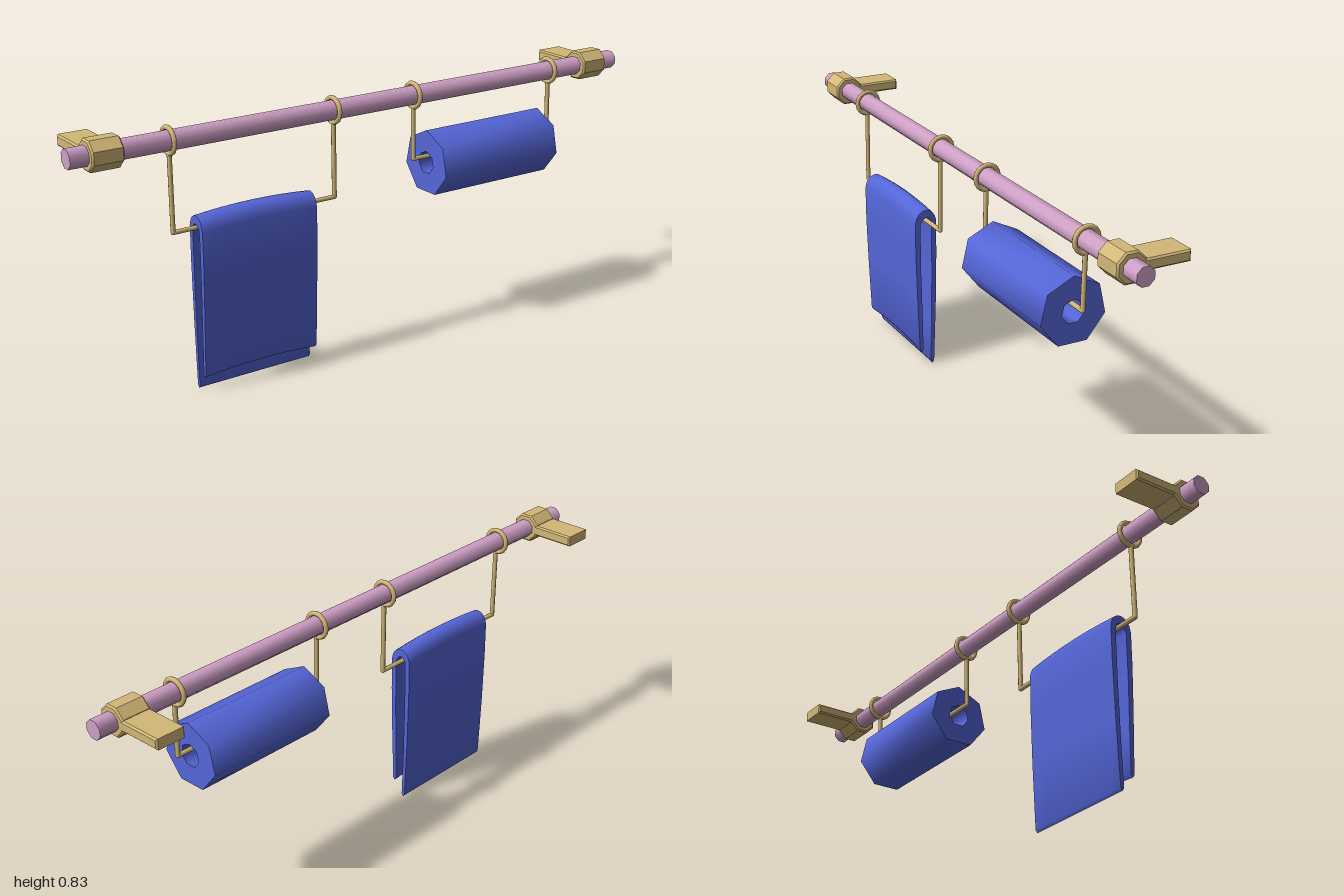
import * as THREE from 'three';
import { toCreasedNormals } from 'three/addons/utils/BufferGeometryUtils.js';

const ROD_X = 0.035, ROD_Y = 0.787, WIRE_X = 0.041, WIRE_R = 0.0075;
const gold = new THREE.MeshStandardMaterial({ color: 0xd3b878 });
const pink = new THREE.MeshStandardMaterial({ color: 0xcfa0c6 });
const blue = new THREE.MeshStandardMaterial({ color: 0x5566d8 });

function add(parent, name, geometry, material) {
  const mesh = new THREE.Mesh(geometry, material);
  mesh.name = name;
  parent.add(mesh);
  return mesh;
}

// Regular polygon outline
function polygon(sides, radius, cx, cy, start) {
  return Array.from({ length: sides }, (_, i) => {
    const a = start + (i / sides) * Math.PI * 2;
    return new THREE.Vector2(cx + radius * Math.cos(a), cy + radius * Math.sin(a));
  });
}

// Extrusion centred on z = 0
function extrude(shape, depth, options, crease) {
  const g = new THREE.ExtrudeGeometry(shape, { depth, bevelEnabled: false, curveSegments: 8, ...options });
  g.translate(0, 0, -depth / 2);
  return toCreasedNormals(g, crease);
}

// Straight wire between two points
function wire(parent, name, a, b) {
  const dir = b.clone().sub(a);
  const m = add(parent, name, new THREE.CylinderGeometry(WIRE_R, WIRE_R, dir.length(), 8), gold);
  m.position.copy(a).add(b).multiplyScalar(0.5);
  m.quaternion.setFromUnitVectors(new THREE.Vector3(0, 1, 0), dir.normalize());
}

// U-shaped wire hanger with two rings round the rod
function hanger(name, zA, zB, y) {
  const group = new THREE.Group();
  group.name = name;
  const ends = [zA, zB].map((z) => {
    const ring = add(group, 'hangerRing', new THREE.TorusGeometry(0.038, 0.0075, 8, 16), gold);
    ring.position.set(ROD_X, ROD_Y, z);
    const low = new THREE.Vector3(WIRE_X, y, z);
    wire(group, 'hangerUpright', new THREE.Vector3(ROD_X + 0.003, ROD_Y - 0.038, z), low);
    add(group, 'hangerCorner', new THREE.SphereGeometry(WIRE_R, 8, 6), gold).position.copy(low);
    return low;
  });
  wire(group, 'hangerBar', ends[0], ends[1]);
  return group;
}

// Wall bracket: octagonal collar with a flat arm, bevelled
function bracketGeometry() {
  const b = 0.005, s = Math.PI / 8, r = 0.045 / Math.cos(s) - b;
  const pts = polygon(8, r, ROD_X, ROD_Y, -Math.PI + s + Math.PI / 4);
  // Rotate the list so that it starts below the arm and ends above it
  const first = pts.findIndex((p) => p.x < ROD_X - 0.03 && p.y < ROD_Y);
  const outline = [...pts.slice(first), ...pts.slice(0, first)];
  const edge = outline[0].x, h = 0.012;
  outline.push(
    new THREE.Vector2(edge, ROD_Y + h), new THREE.Vector2(-0.142, ROD_Y + h),
    new THREE.Vector2(-0.142, ROD_Y - h), new THREE.Vector2(edge, ROD_Y - h));
  return extrude(new THREE.Shape(outline), 0.088,
    { bevelEnabled: true, bevelSize: b, bevelThickness: b, bevelSegments: 1 }, 0.6);
}

// Folded towel: an inverted U, bowed upwards along its width
function towelGeometry() {
  const s = new THREE.Shape();
  s.moveTo(0.028, 0.003);
  s.lineTo(0.034, 0.012);
  s.lineTo(0.030, 0.15);
  s.lineTo(0.027, 0.35);
  s.lineTo(0.027, 0.505);
  s.bezierCurveTo(0.030, 0.536, 0.060, 0.536, 0.066, 0.500);
  s.lineTo(0.066, 0.35);
  s.lineTo(0.063, 0.20);
  s.lineTo(0.061, 0.06);
  s.lineTo(0.067, 0.051);
  s.lineTo(0.073, 0.06);
  s.lineTo(0.080, 0.25);
  s.lineTo(0.084, 0.40);
  s.lineTo(0.084, 0.510);
  s.bezierCurveTo(0.078, 0.566, 0.018, 0.568, 0.010, 0.515);
  s.lineTo(0.010, 0.40);
  s.lineTo(0.014, 0.22);
  s.lineTo(0.022, 0.012);
  s.closePath();
  const half = 0.196;
  const g = new THREE.ExtrudeGeometry(s, { depth: half * 2, steps: 8, bevelEnabled: false, curveSegments: 8 });
  g.translate(0, 0, -half);
  const p = g.attributes.position;
  for (let i = 0; i < p.count; i++) {
    const x = p.getX(i), y = p.getY(i), t = p.getZ(i) / half;
    const weight = x > 0.05 ? 1 : Math.min(1, y / 0.5);
    p.setY(i, y + 0.01 * (1 - t * t) * weight);
  }
  return toCreasedNormals(g, 0.9);
}

export function createModel() {
  const model = new THREE.Group();
  model.name = 'towelRail';

  // Rod
  const rod = add(model, 'rod',
    toCreasedNormals(new THREE.CylinderGeometry(0.03, 0.03, 2, 8).rotateY(Math.PI / 8).rotateX(Math.PI / 2), 0.9), pink);
  rod.position.set(ROD_X, ROD_Y, 0);

  // Brackets
  for (const z of [0.894, -0.89]) add(model, 'wallBracket', bracketGeometry(), gold).position.z = z;

  // Hangers
  model.add(hanger('towelHanger', 0.69, 0.135, 0.515));
  model.add(hanger('rollHanger', -0.165, -0.72, 0.582));

  // Hanging towel
  add(model, 'towel', towelGeometry(), blue).position.z = 0.423;

  // Seven-sided roll with a hole through it
  const roll = new THREE.Shape(polygon(7, 0.106, 0.042, 0.561, Math.PI / 2));
  roll.holes.push(new THREE.Path(polygon(7, 0.037, 0.042, 0.561, Math.PI / 2)));
  add(model, 'roll', extrude(roll, 0.46, {}, 1.0), blue).position.z = -0.445;

  return model;
}
